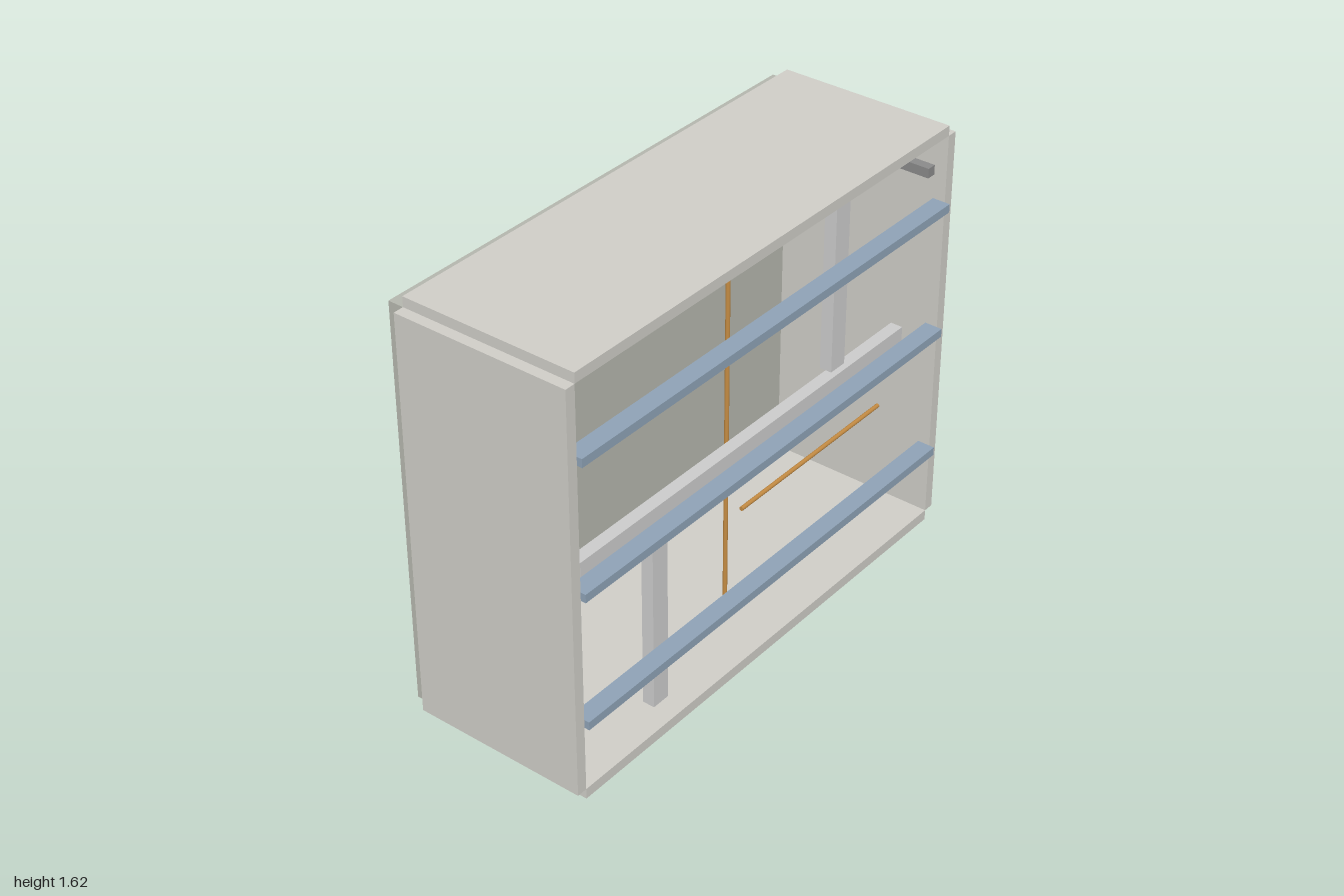
import * as THREE from 'three';

export function createModel() {
  const model = new THREE.Group();
  const mat = (color) => new THREE.MeshStandardMaterial({ color });
  const grey = mat(0xcccccc), panel = mat(0xcfcdc7), backing = mat(0xb4b6ad);
  const steel = mat(0x8ea2b6), copper = mat(0xc28a42), dark = mat(0x8a8a8a);

  // Box given by its limits on each axis
  const box = (name, material, [x0, x1], [y0, y1], [z0, z1]) => {
    const mesh = new THREE.Mesh(new THREE.BoxGeometry(x1 - x0, y1 - y0, z1 - z0), material);
    mesh.position.set((x0 + x1) / 2, (y0 + y1) / 2, (z0 + z1) / 2);
    mesh.name = name;
    model.add(mesh);
  };

  // Round rod between two points
  const rod = (name, radius, from, to) => {
    const a = new THREE.Vector3(...from), b = new THREE.Vector3(...to);
    const dir = b.clone().sub(a);
    const mesh = new THREE.Mesh(new THREE.CylinderGeometry(radius, radius, dir.length(), 24), copper);
    mesh.position.copy(a).add(b).multiplyScalar(0.5);
    mesh.quaternion.setFromUnitVectors(new THREE.Vector3(0, 1, 0), dir.normalize());
    mesh.name = name;
    model.add(mesh);
  };

  // Open-fronted case: the panels meet only along their edges
  const depth = [-0.315, 0.356], width = [-0.96, 0.96], height = [0.04, 1.58];
  box('bottomPanel', panel, width, [0, 0.04], depth);
  box('topPanel', panel, width, [1.58, 1.618], depth);
  box('rightPanel', panel, [-1, -0.96], height, depth);
  box('leftPanel', panel, [0.96, 1], height, depth);
  box('backPanel', backing, width, height, [-0.375, -0.315]);

  // Front rails
  for (const y of [0.312, 0.814, 1.311]) {
    box('frontRail', steel, width, [y - 0.016, y + 0.016], [0.308, 0.376]);
  }

  // Inner crossbar and the two staggered posts
  const barDepth = [0.227, 0.274];
  box('crossbar', grey, [-0.865, 0.865], [0.775, 0.845], barDepth);
  box('lowerPost', grey, [-0.516, -0.441], [0.04, 0.752], barDepth);
  box('upperPost', grey, [0.441, 0.516], [0.872, 1.58], barDepth);

  // Thin rods
  rod('verticalRod', 0.008, [0, 0.1, 0.17], [0, 1.52, 0.17]);
  rod('upperRod', 0.008, [-0.885, 1.16, 0.175], [-0.08, 1.16, 0.175]);
  rod('lowerRod', 0.008, [0.08, 0.466, 0.175], [0.885, 0.466, 0.175]);

  // Corner duct and the small pin near it
  box('cornerDuct', dark, [0.847, 0.883], [1.467, 1.503], depth);
  rod('backPin', 0.014, [0.767, 1.428, -0.315], [0.767, 1.428, -0.2]);

  return model;
}
